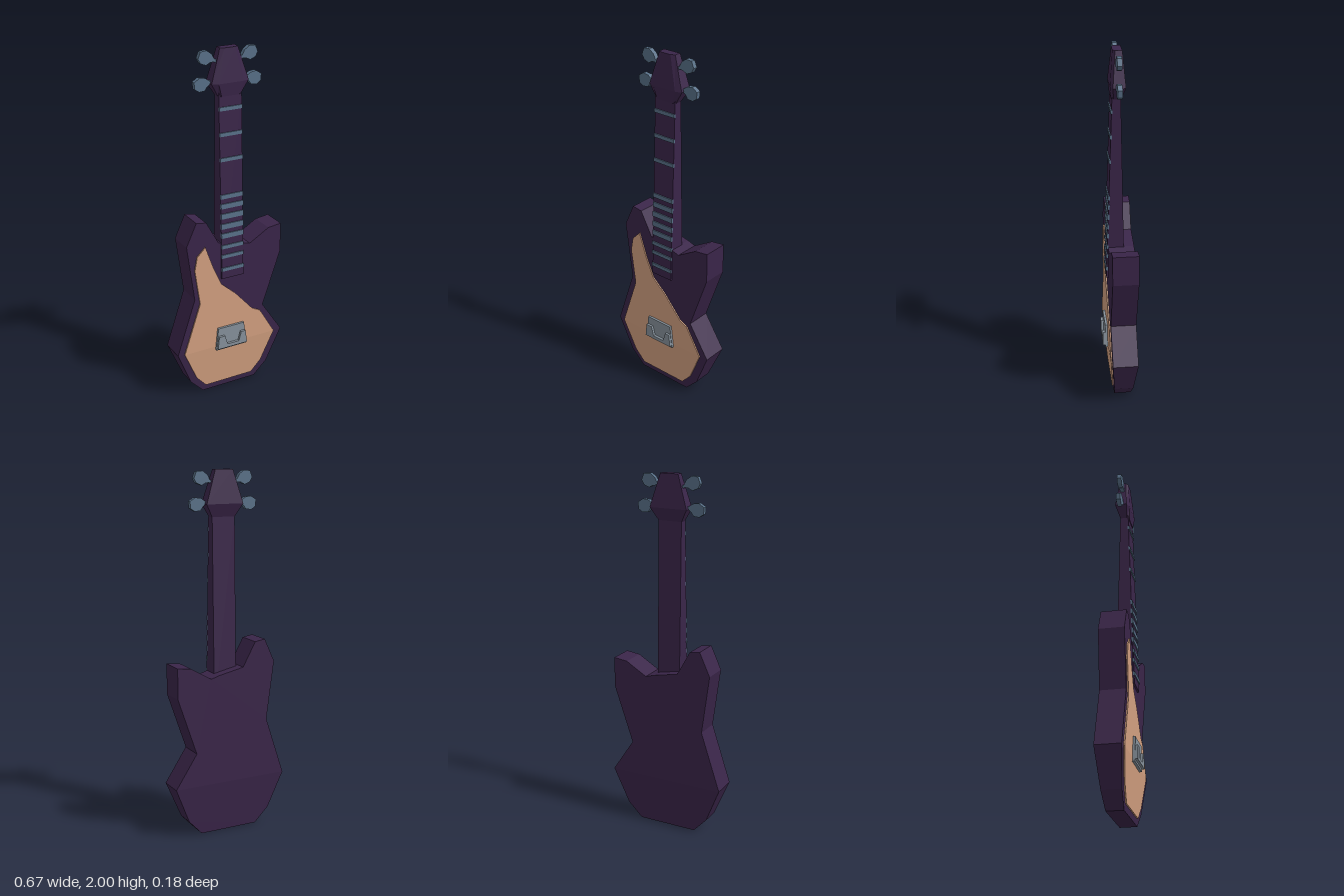
import * as THREE from 'three';

const mat = (name, color) => {
  const m = new THREE.MeshStandardMaterial({ color });
  m.name = name;
  m.flatShading = true;
  return m;
};
const lerp = THREE.MathUtils.lerp;

const toShape = (pts) => new THREE.Shape(pts.map(([x, y]) => new THREE.Vector2(x, y)));

// Extrude an outline, then place its front and back by height
function slab(pts, front, back) {
  const geo = new THREE.ExtrudeGeometry(toShape(pts), { depth: 1, bevelEnabled: false });
  const p = geo.attributes.position;
  for (let i = 0; i < p.count; i++) {
    const y = p.getY(i);
    p.setZ(i, lerp(back(y), front(y), p.getZ(i)));
  }
  geo.computeVertexNormals();
  return geo;
}

// Join horizontal sections { y, pts: [x, z] } into a closed solid
function loft(sections) {
  const v = [];
  const n = sections[0].pts.length;
  const at = (s, i) => [s.pts[i % n][0], s.y, s.pts[i % n][1]];
  for (let k = 0; k < sections.length - 1; k++) {
    const a = sections[k], b = sections[k + 1];
    for (let i = 0; i < n; i++) {
      v.push(...at(a, i), ...at(a, i + 1), ...at(b, i + 1));
      v.push(...at(a, i), ...at(b, i + 1), ...at(b, i));
    }
  }
  const bottom = sections[0], top = sections[sections.length - 1];
  for (let i = 1; i < n - 1; i++) {
    v.push(...at(top, 0), ...at(top, i), ...at(top, i + 1));
    v.push(...at(bottom, 0), ...at(bottom, i + 1), ...at(bottom, i));
  }
  const geo = new THREE.BufferGeometry();
  geo.setAttribute('position', new THREE.Float32BufferAttribute(v, 3));
  geo.computeVertexNormals();
  return geo;
}

export function createModel() {
  const purple = mat('dark purple', 0x3a2549);
  const tan = mat('tan', 0xd3a080);
  const steel = mat('blue steel', 0x587088);
  const grey = mat('bridge grey', 0x87929c);

  const model = new THREE.Group();
  const add = (name, geo, material, parent = model) => {
    const mesh = new THREE.Mesh(geo, material);
    mesh.name = name;
    parent.add(mesh);
    return mesh;
  };

  // Body: full depth above the waist line, tapering towards the base
  const bend = 0.29;
  const taper = (y) => Math.min(y / bend, 1);
  const bodyFront = (y) => lerp(0.032, 0.054, taper(y));
  const bodyBack = (y) => lerp(-0.062, -0.088, taper(y));
  add('lowerBody', slab([
    [-0.17, 0], [0.17, 0], [0.25, 0.085], [0.335, bend], [-0.335, bend], [-0.25, 0.085],
  ], bodyFront, bodyBack), purple);
  add('upperBody', slab([
    [-0.335, bend], [0.335, bend], [0.21, 0.48], [0.32, 0.8], [0.32, 0.97], [0.24, 0.96],
    [0.12, 0.89], [0.07, 0.905], [-0.075, 0.935], [-0.15, 1.07], [-0.21, 1.08],
    [-0.27, 0.95], [-0.225, 0.62],
  ], bodyFront, bodyBack), purple);

  // Pickguard: a thin plate following the body front
  const guardFront = (y) => bodyFront(y) + 0.007;
  add('lowerPickguard', slab([
    [-0.155, 0.037], [0.145, 0.037], [0.205, 0.105], [0.285, bend], [-0.295, bend], [-0.215, 0.105],
  ], guardFront, bodyFront), tan);
  add('upperPickguard', slab([
    [-0.295, bend], [0.285, bend], [0.19, 0.45], [0.14, 0.475], [0.03, 0.6], [-0.06, 0.68],
    [-0.11, 0.79], [-0.16, 0.93], [-0.21, 0.88], [-0.225, 0.8], [-0.195, 0.59],
  ], guardFront, bodyFront), tan);

  // Neck
  const neckLow = 0.715, neckHigh = 1.77;
  const neckFront = (y) => lerp(0.065, 0.032, (y - neckLow) / (neckHigh - neckLow));
  const rect = (y, x0, x1, zf, zb) => ({ y, pts: [[x0, zf], [x1, zf], [x1, zb], [x0, zb]] });
  add('neck', loft([
    rect(neckLow, -0.06, 0.075, neckFront(neckLow), -0.035),
    rect(neckHigh, -0.06, 0.075, neckFront(neckHigh), -0.013),
  ]), purple);

  // Frets
  const frets = new THREE.Group();
  frets.name = 'frets';
  model.add(frets);
  const tilt = Math.atan((neckFront(neckHigh) - neckFront(neckLow)) / (neckHigh - neckLow));
  [
    [0.772, 0.02], [0.85, 0.02], [0.907, 0.021], [0.973, 0.028], [1.028, 0.03], [1.087, 0.03],
    [1.145, 0.028], [1.2, 0.024], [1.408, 0.02], [1.546, 0.02], [1.684, 0.02],
  ].forEach(([y, h]) => {
    const fret = add('fret', new THREE.BoxGeometry(0.136, h, 0.012), steel, frets);
    fret.position.set(0.0075, y, neckFront(y));
    fret.rotation.x = tilt;
  });

  // Headstock with a chamfered front
  const headSection = (y, x0, x1, zf, zb, inset) => ({
    y,
    pts: [[x0 + inset, zf], [x1 - inset, zf], [x1, zf - 0.012], [x1, zb], [x0, zb], [x0, zf - 0.012]],
  });
  add('headstock', loft([
    headSection(1.75, -0.06, 0.075, 0.036, -0.013, 0.015),
    headSection(1.82, -0.1, 0.117, 0.043, -0.036, 0.035),
    headSection(2, -0.044, 0.06, 0.027, -0.022, 0.022),
  ]), purple);

  // Tuning pegs: stem and faceted head in one outline, mirrored to both sides
  const pegGeo = new THREE.ExtrudeGeometry(toShape([
    [-0.02, -0.009], [0.018, -0.007], [0.036, -0.017], [0.052, -0.036], [0.085, -0.036],
    [0.108, -0.018], [0.108, 0.02], [0.075, 0.036], [0.042, 0.028], [0.018, 0.008], [-0.02, 0.009],
  ]), { depth: 0.025, bevelEnabled: false });
  pegGeo.translate(0, 0, -0.01);
  [[0.066, 1.932, 0.38], [0.087, 1.828, -0.1]].forEach(([x, y, angle]) => {
    const right = add('rightTuningPeg', pegGeo, steel);
    right.position.set(0.006 - x, y, 0.0025);
    right.rotation.set(0, Math.PI, -angle, 'ZYX');
    const left = add('leftTuningPeg', pegGeo, steel);
    left.position.set(0.006 + x, y, 0);
    left.rotation.z = angle;
  });

  // Bridge: base plate with a raised U-shaped frame
  const flat = (z) => () => z;
  add('bridgePlate', slab([
    [-0.1, 0.27], [0.092, 0.27], [0.092, 0.285], [0.077, 0.408], [-0.088, 0.408], [-0.1, 0.285],
  ], flat(0.074), flat(0.045)), grey);
  add('bridgeFrame', slab([
    [-0.098, 0.283], [0.09, 0.283], [0.08, 0.36], [0.052, 0.36], [0.037, 0.304],
    [-0.036, 0.304], [-0.052, 0.36], [-0.09, 0.36],
  ], flat(0.088), flat(0.07)), grey);

  return model;
}
